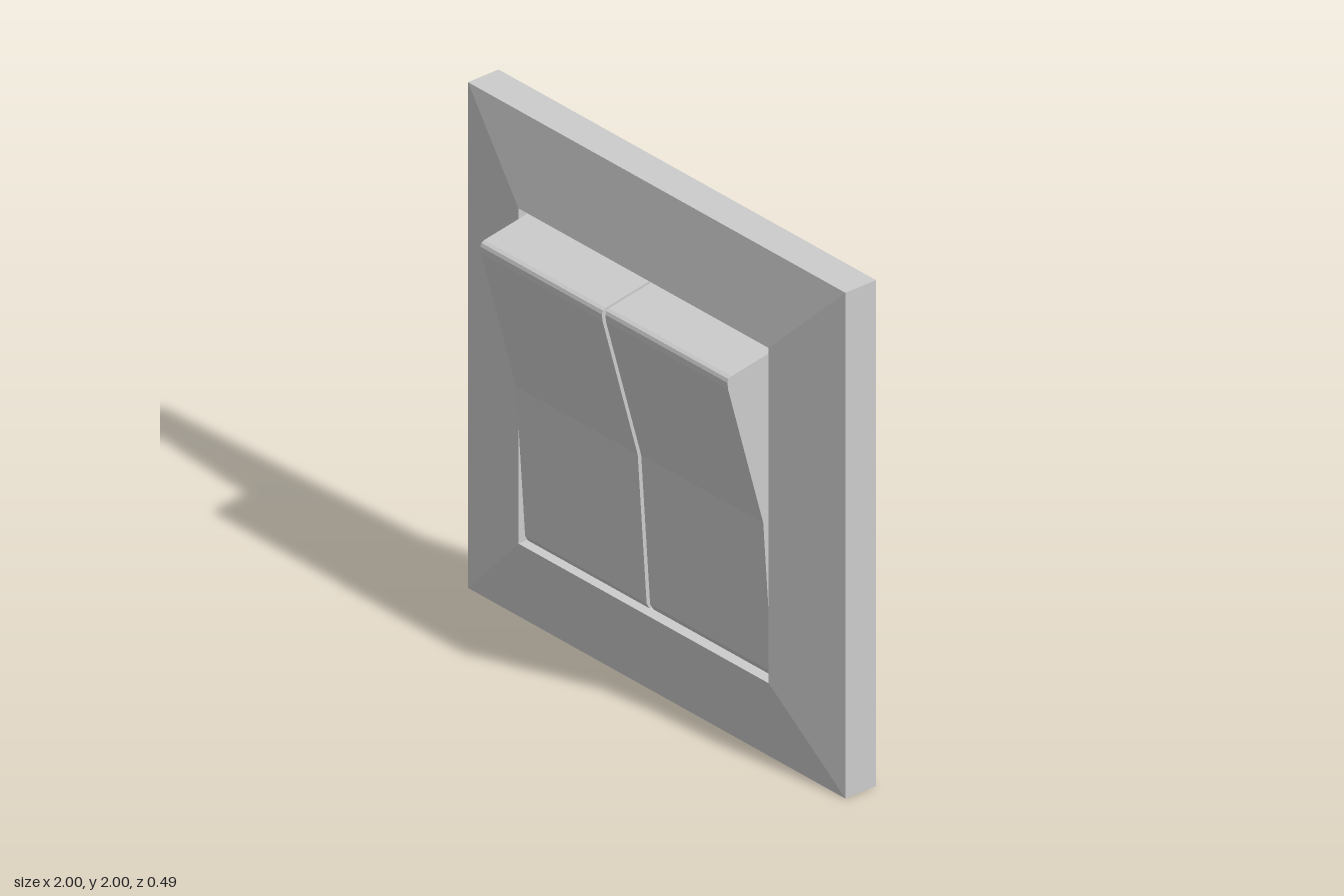
import * as THREE from 'three';

const plastic = new THREE.MeshStandardMaterial({ color: 0xcccccc });
plastic.name = 'light grey plastic';
const dark = new THREE.MeshStandardMaterial({ color: 0x111111 });
dark.name = 'black recess';

// Square bevelled frame: a four-sided lathe turned to face +z
function makeFrame() {
  const profile = [[0, -0.14], [1, -0.14], [1, 0], [0.663, 0.06], [0.663, -0.01]]
    .map(([r, z]) => new THREE.Vector2(r * Math.SQRT2, z));
  const lathe = new THREE.LatheGeometry(profile, 4, Math.PI / 4);
  lathe.rotateX(Math.PI / 2);
  const geometry = lathe.toNonIndexed();
  geometry.computeVertexNormals();
  const frame = new THREE.Mesh(geometry, plastic);
  frame.name = 'frame';
  frame.position.y = 1;
  return frame;
}

// Rocker side profile as [z, y], extruded across x
const rockerProfile = [
  [-0.24, 0.372], [0, 0.325], [0.022, 0.343], [0.038, 0.37], // lower edge
  [0.079, 0.975],                                           // crease
  [0.24, 1.56], [0.243, 1.588], [0.238, 1.601], [0.225, 1.608], // rounded top lip
  [-0.05, 1.654], [-0.05, 1.47],
];

function makeRocker(name, x0, x1, dy, dz) {
  const shape = new THREE.Shape(rockerProfile.map(([z, y]) => new THREE.Vector2(-z, y)));
  const geometry = new THREE.ExtrudeGeometry(shape, { depth: x1 - x0, bevelEnabled: false });
  geometry.rotateY(Math.PI / 2);
  const rocker = new THREE.Mesh(geometry, plastic);
  rocker.name = name;
  rocker.position.set(x0, dy, dz);
  return rocker;
}

export function createModel() {
  const model = new THREE.Group();
  model.name = 'doubleRockerSwitch';
  model.add(makeFrame());

  // Dark floor of the opening, seen through the gaps
  const recess = new THREE.Mesh(new THREE.BoxGeometry(1.326, 1.326, 0.008), dark);
  recess.name = 'recess';
  recess.position.set(0, 1, -0.004);
  model.add(recess);

  // The two rockers are tilted very slightly differently
  model.add(makeRocker('leftRocker', 0.009, 0.656, 0, 0));
  model.add(makeRocker('rightRocker', -0.658, -0.014, -0.01, -0.004));
  return model;
}
